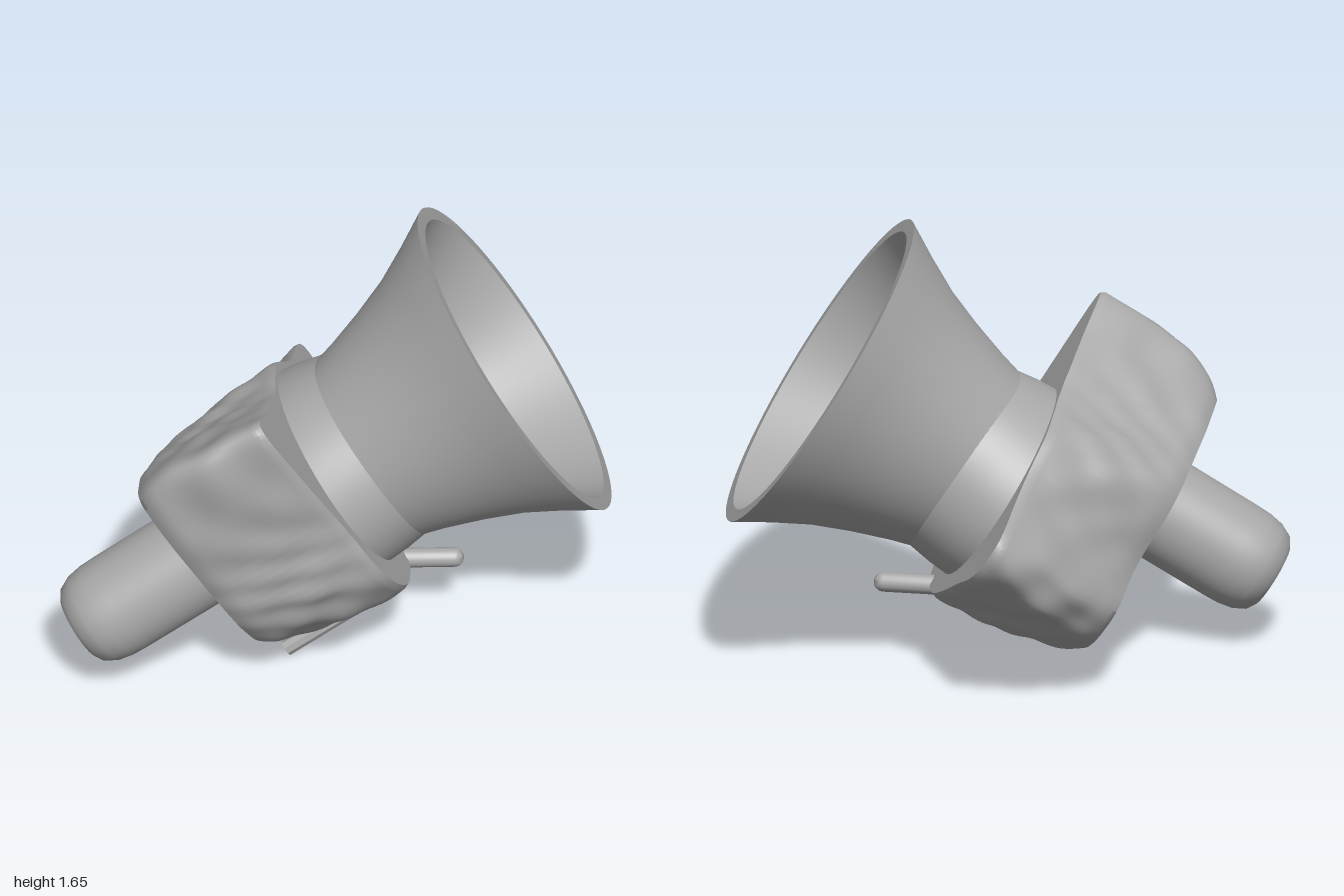
import * as THREE from 'three';
import { toCreasedNormals } from 'three/addons/utils/BufferGeometryUtils.js';

const stone = new THREE.MeshStandardMaterial({ color: 0xa8a8a8, side: THREE.DoubleSide });
stone.name = 'plain grey';

function part(name, geometry, crease = 0.6) {
  const mesh = new THREE.Mesh(toCreasedNormals(geometry, crease), stone);
  mesh.name = name;
  return mesh;
}

// Turned shape; an optional rule (x, y, radius) => x shifts it sideways
function latheGeometry(profile, moveX) {
  const g = new THREE.LatheGeometry(profile.map(([r, y]) => new THREE.Vector2(r, y)), 72);
  if (moveX) {
    const pos = g.attributes.position;
    for (let i = 0; i < pos.count; i++) {
      const x = pos.getX(i);
      pos.setX(i, moveX(x, pos.getY(i), Math.hypot(x, pos.getZ(i))));
    }
  }
  return g;
}

// Closed smooth outline through a few points
function outline(points, n) {
  const curve = new THREE.CatmullRomCurve3(
    points.map(([a, b]) => new THREE.Vector3(a, 0, b)), true, 'centripetal');
  return Array.from({ length: n }, (_, i) => curve.getPoint(i / n));
}

// Craggy body: lofted from a front outline to a back outline
function rockGeometry() {
  const N = 120, LAYERS = 28, FRONT = -0.775, BACK = -1.33;
  const front = outline([
    [0.53, 0.63], [0.3, 0.54], [0, 0.42], [-0.25, 0.36], [-0.5, 0.2], [-0.76, 0.07], [-0.74, -0.07],
    [-0.45, -0.29], [-0.25, -0.42], [0, -0.49], [0.22, -0.45], [0.38, -0.33], [0.46, -0.18],
    [0.48, 0.05], [0.53, 0.35]], N);
  const back = outline([
    [0.42, 0.58], [0.25, 0.55], [0.05, 0.46], [-0.15, 0.33], [-0.25, 0.08], [-0.46, -0.04], [-0.47, -0.14],
    [-0.4, -0.24], [-0.22, -0.33], [0, -0.38], [0.2, -0.35], [0.36, -0.25], [0.43, -0.1],
    [0.46, 0.1], [0.47, 0.37]], N);
  const pos = [], index = [];
  const p = new THREE.Vector3();

  // Mouth of the cavity
  for (const q of front) {
    const k = 0.34 / Math.hypot(q.x, q.z);
    pos.push(q.x * k, FRONT, q.z * k);
  }
  // Side wall with diagonal ridges
  for (let j = 0; j <= LAYERS; j++) {
    const t = j / LAYERS;
    const bevel = 0.05 * Math.max(0, (t - 0.86) / 0.14) ** 2 + (j === 0 ? 0.015 : 0);
    const swell = 1 + 0.04 * Math.sin(Math.PI * t) - bevel;
    for (let i = 0; i < N; i++) {
      p.lerpVectors(front[i], back[i], t ** 1.15);
      const a = Math.atan2(p.z, p.x);
      const bump = 0.012 * Math.sin(9 * a + 7 * t) * Math.sin(5 * t + 3 * a + 1)
        + 0.008 * Math.sin(17 * a - 11 * t + 2 * Math.sin(4 * a));
      const k = swell + bump * (0.4 + 1.4 * Math.sin(Math.PI * t));
      pos.push(p.x * k, THREE.MathUtils.lerp(FRONT, BACK, t), p.z * k);
    }
  }
  // Back face, drawn in to a point
  for (const q of back) pos.push(q.x * 0.4 + 0.05, BACK - 0.01, q.z * 0.4 + 0.04);
  for (let j = 0; j < LAYERS + 2; j++) {
    for (let i = 0; i < N; i++) {
      const a = j * N + i, b = j * N + (i + 1) % N;
      index.push(a, b, a + N, b, b + N, a + N);
    }
  }
  const centre = pos.length / 3, last = (LAYERS + 2) * N;
  pos.push(0.05, BACK - 0.01, 0.04);
  for (let i = 0; i < N; i++) index.push(last + i, last + (i + 1) % N, centre);

  const g = new THREE.BufferGeometry();
  g.setAttribute('position', new THREE.Float32BufferAttribute(pos, 3));
  g.setIndex(index);
  return g;
}

// Straight rod between two points
function rod(name, geometry, from, to) {
  const a = new THREE.Vector3(...from), b = new THREE.Vector3(...to);
  const mesh = part(name, geometry(a.distanceTo(b)));
  mesh.position.copy(a).add(b).multiplyScalar(0.5);
  mesh.quaternion.setFromUnitVectors(new THREE.Vector3(0, 1, 0), b.sub(a).normalize());
  return mesh;
}

export function createModel() {
  const model = new THREE.Group();
  model.name = 'hornDevice';

  // Tilted frame: local y runs along the horn axis, its origin at the rim centre
  const tilted = new THREE.Group();
  tilted.name = 'tiltedBody';
  const n = new THREE.Vector3(0.837, 0.535, -0.12).normalize();
  const u = new THREE.Vector3(-0.539, 0.843, 0).normalize();
  u.addScaledVector(n, -u.dot(n)).normalize();
  const v = new THREE.Vector3().crossVectors(n, u);
  tilted.quaternion.setFromRotationMatrix(new THREE.Matrix4().makeBasis(v, n, u));
  tilted.position.set(0.65, 1.11, 0);
  model.add(tilted);

  // Flared horn with a flat rim and a hollow throat
  tilted.add(part('horn', latheGeometry([
    [0.37, -0.63], [0.395, -0.54], [0.442, -0.4], [0.497, -0.26], [0.565, -0.13], [0.64, 0],
    [0.588, 0], [0.515, -0.13], [0.445, -0.26], [0.38, -0.4], [0.335, -0.54], [0.325, -0.63]])));

  // Collar whose outer foot spreads sideways, mostly towards the back
  tilted.add(part('neckCollar', latheGeometry([
    [0.385, -0.8], [0.38, -0.7], [0.37, -0.62], [0.365, -0.54], [0.335, -0.54], [0.325, -0.62], [0.32, -0.92]],
  (x, y, r) => {
    const spread = r < 0.35 ? 0 : THREE.MathUtils.clamp((-0.5 - y) / 0.28, 0, 1);
    return x * (1 + (x < 0 ? 0.22 : 0.05) * spread);
  })));

  // Ledge at the foot of the throat with an off-centre hollow
  tilted.add(part('cavityFloor', latheGeometry([
    [0.33, -0.9], [0.25, -0.91], [0.235, -0.96], [0.2, -1.05], [0.12, -1.11], [0.001, -1.13]],
  (x, y, r) => (r < 0.3 ? x - 0.055 : x))));

  tilted.add(part('rockBody', rockGeometry(), 0.7));

  // Rounded handle with a dished end
  const handle = part('handle', latheGeometry([
    [0.001, -1.79], [0.09, -1.8], [0.125, -1.84], [0.155, -1.82], [0.178, -1.775],
    [0.188, -1.72], [0.19, -1.66], [0.192, -1.2]]));
  handle.position.set(0.24, 0, 0.137);
  tilted.add(handle);

  // Small rods under the body
  model.add(rod('roundPeg', (l) => new THREE.CapsuleGeometry(0.036, l - 0.072, 8, 20),
    [0.1, 0.28, 0.085], [0.465, 0.282, 0.085]));
  model.add(rod('strutRod', (l) => new THREE.CylinderGeometry(0.03, 0.03, l, 8),
    [0.2, 0.267, 0.228], [-0.185, 0.026, 0.285]));
  return model;
}
